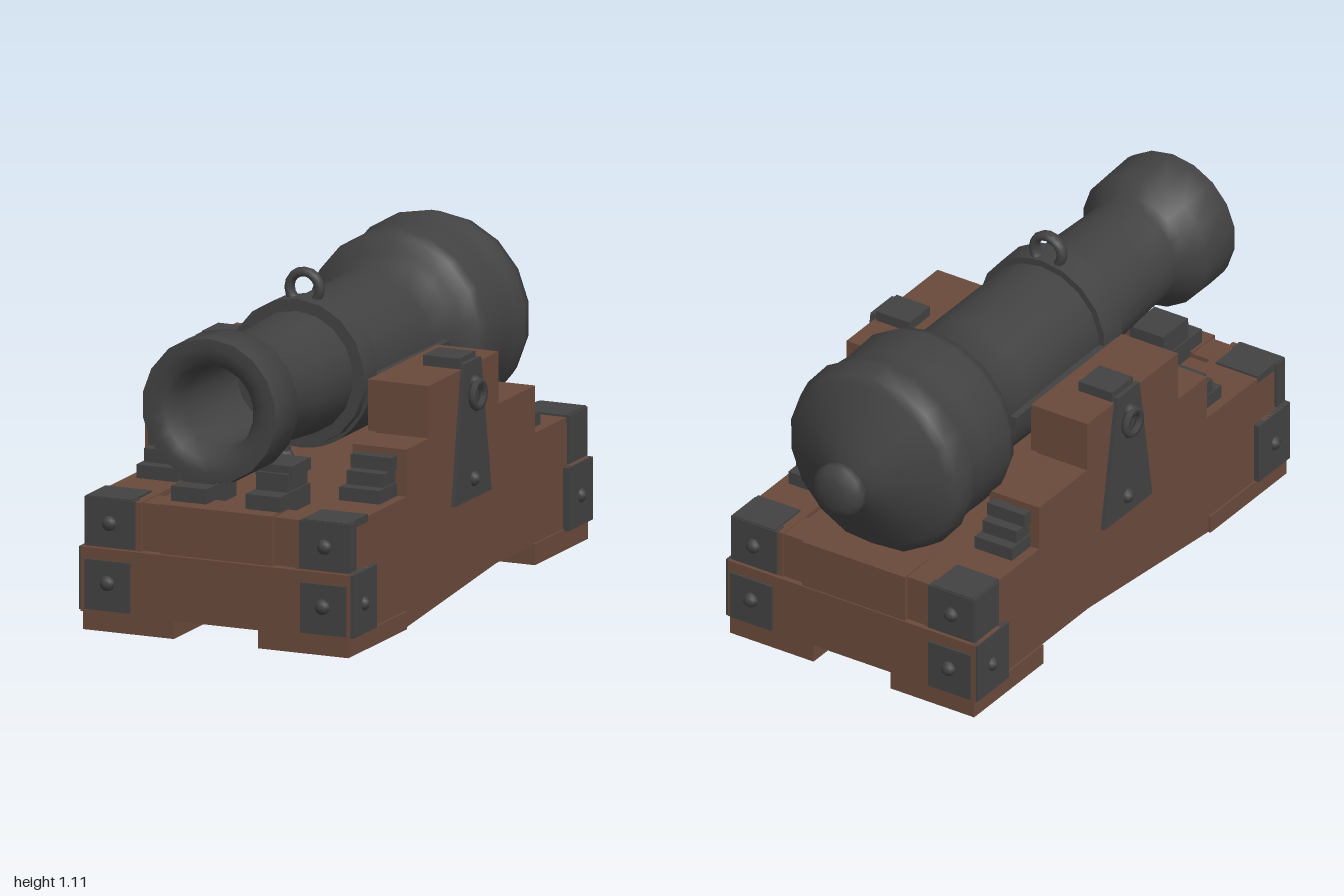
import * as THREE from 'three';
import { toCreasedNormals } from 'three/addons/utils/BufferGeometryUtils.js';

export function createModel() {
  const model = new THREE.Group();
  model.name = 'cannon';
  const iron = new THREE.MeshStandardMaterial({ name: 'dark iron', color: 0x424242 });
  const wood = new THREE.MeshStandardMaterial({ name: 'brown wood', color: 0x6a4a3c });

  const add = (name, geo, mat, parent = model) => {
    const mesh = new THREE.Mesh(geo, mat);
    mesh.name = name;
    parent.add(mesh);
    return mesh;
  };
  // Box given by its limits on each axis
  const box = (name, mat, x0, x1, y0, y1, z0, z1) => {
    const m = add(name, new THREE.BoxGeometry(Math.abs(x1 - x0), y1 - y0, z1 - z0), mat);
    m.position.set((x0 + x1) / 2, (y0 + y1) / 2, (z0 + z1) / 2);
  };
  // Side outline in (z, y), extruded from x0 to x1
  const slab = (name, mat, pts, x0, x1) => {
    const shape = new THREE.Shape(pts.map(([z, y]) => new THREE.Vector2(z, y)));
    const geo = new THREE.ExtrudeGeometry(shape, { depth: Math.abs(x1 - x0), bevelEnabled: false });
    geo.rotateY(-Math.PI / 2).translate(Math.max(x0, x1), 0, 0);
    add(name, geo, mat);
  };
  // Round bolt head
  const bolt = (x, y, z) => {
    const m = add('bolt', new THREE.SphereGeometry(0.026, 8, 6), iron);
    m.position.set(x, y, z);
  };

  // Barrel: turned profile of [z, radius], from breech to bore floor
  const barrel = new THREE.Group();
  barrel.name = 'barrel';
  barrel.position.y = 0.762;
  barrel.rotation.x = -0.024;
  model.add(barrel);
  const turned = (name, pts, seg) => {
    const geo = new THREE.LatheGeometry(pts.map(([z, r]) => new THREE.Vector2(r, z)), seg);
    add(name, toCreasedNormals(geo.rotateX(Math.PI / 2), 1), iron, barrel);
  };
  turned('barrelBody', [
    [-0.9, 0], [-0.895, 0.045], [-0.865, 0.118], [-0.815, 0.215], [-0.775, 0.293], [-0.755, 0.325],
    [-0.69, 0.342], [-0.66, 0.328], [-0.58, 0.32], [-0.44, 0.325], [-0.4, 0.312], [-0.38, 0.265], [-0.36, 0.235],
    [-0.2, 0.23], [0.23, 0.222], [0.23, 0.245], [0.335, 0.245], [0.335, 0.205],
    [0.55, 0.192], [0.74, 0.182], [0.78, 0.192], [0.83, 0.242], [0.97, 0.245], [0.998, 0.24],
    [1, 0.205], [0.99, 0.165], [0.97, 0.147], [0.9, 0.135], [0.5, 0.13], [0.5, 0],
  ], 18);
  turned('breechKnob', [
    [-0.998, 0], [-0.996, 0.05], [-0.985, 0.078], [-0.965, 0.095], [-0.94, 0.095],
    [-0.918, 0.075], [-0.908, 0.03], [-0.87, 0.03],
  ], 14);

  // Lifting ring on top and lug below the barrel
  const ring = add('liftingRing', new THREE.TorusGeometry(0.054, 0.016, 8, 16), iron);
  ring.scale.z = 1.4;
  ring.position.set(-0.005, 1.036, 0.258);
  const lug = add('lowerLug', new THREE.SphereGeometry(0.034, 10, 8), iron);
  lug.scale.y = 1.4;
  lug.position.set(-0.01, 0.49, 0.4);
  const stem = add('lugStem', new THREE.CylinderGeometry(0.022, 0.022, 0.1, 8), iron);
  stem.position.set(-0.01, 0.56, 0.4);

  // Curved saddle cradling the barrel between the cheeks
  const arc = new THREE.Shape();
  arc.absarc(0, 0, 0.252, Math.PI, Math.PI * 2, false);
  arc.absarc(0, 0, 0.222, Math.PI * 2, Math.PI, true);
  const saddleGeo = new THREE.ExtrudeGeometry(arc, { depth: 0.6, bevelEnabled: false, curveSegments: 10 });
  add('saddle', toCreasedNormals(saddleGeo, 0.6), iron).position.set(0, 0.765, -0.3);

  // Carriage bed and its underside
  slab('bed', wood, [
    [0.9, 0.06], [0.62, 0.06], [0.6, 0.006], [0.5, 0.006], [-0.2, 0.068],
    [-0.86, 0.068], [-0.86, 0.42], [0.9, 0.42],
  ], -0.28, 0.28);

  // Cross beams at both ends
  box('frontLowerBeam', wood, -0.485, 0.48, 0.06, 0.275, 0.8, 0.945);
  box('frontUpperBeam', wood, -0.465, 0.465, 0.275, 0.435, 0.8, 0.915);
  box('frontCenterBlock', wood, -0.205, 0.195, 0.275, 0.44, 0.8, 0.93);
  box('rearLowerBeam', wood, -0.485, 0.48, 0.065, 0.275, -0.885, -0.74);
  box('rearUpperBeam', wood, -0.465, 0.465, 0.275, 0.435, -0.865, -0.74);
  box('rearCenterBlock', wood, -0.205, 0.195, 0.275, 0.44, -0.88, -0.74);

  // Stepped iron wedge: three stairs descending away from z0 in direction dir
  const stairs = (x0, x1, y, z0, dir, depth, height) => {
    for (let i = 0; i < 3; i++) {
      const end = z0 + dir * depth * (3 - i) / 3;
      box('stepWedge', iron, x0 + 0.006 * (i % 2), x1 - 0.006 * (i % 2),
        y + height * i / 3, y + height * (i + 1) / 3, Math.min(z0, end), Math.max(z0, end));
    }
  };

  for (const s of [1, -1]) {
    // Stepped cheek with a thicker top block
    slab('cheek', wood, [
      [0.93, 0.06], [0.93, 0.002], [0.5, 0.002], [-0.2, 0.068], [-0.87, 0.068], [-0.87, 0.438],
      [-0.49, 0.438], [-0.49, 0.595], [-0.21, 0.595], [-0.21, 0.77], [0.32, 0.77],
      [0.32, 0.595], [0.49, 0.595], [0.49, 0.438], [0.93, 0.438],
    ], s * 0.275, s * 0.468);
    box('cheekInnerBlock', wood, s * 0.25, s * 0.28, 0.6, 0.77, -0.21, 0.32);

    // Feet
    box('frontFoot', wood, s * 0.15, s * 0.475, 0, 0.06, 0.5, 0.945);
    box('rearFoot', wood, s * 0.15, s * 0.475, 0, 0.07, -0.88, -0.475);

    // Step wedges on the cheek steps and the front of the bed
    const lo = s > 0 ? 0.29 : -0.435, hi = s > 0 ? 0.435 : -0.29;
    stairs(lo, hi, 0.438, 0.49, 1, 0.135, 0.135);
    stairs(lo, hi, 0.438, -0.49, -1, 0.11, 0.135);
    const c0 = s > 0 ? 0.07 : -0.195, c1 = s > 0 ? 0.195 : -0.07;
    box('centerWedgeToe', iron, c0, c1, 0.42, 0.49, 0.64, 0.87);
    box('centerWedgeBody', iron, c0 + 0.006, c1 - 0.006, 0.49, 0.55, 0.65, 0.8);
    box('centerWedgeTop', iron, c0 - 0.003, c1 + 0.003, 0.535, 0.575, 0.64, 0.785);

    // Corner ironwork at the front and rear
    for (const [end, z] of [[1, 0.945], [-1, -0.885]]) {
      const span = (a, b) => [Math.min(z + end * a, z + end * b), Math.max(z + end * a, z + end * b)];
      const sideDepth = end > 0 ? -0.06 : -0.15;
      box('cornerCap', iron, s * 0.295, s * 0.47, 0.28, 0.441, ...span(-0.05, -0.006));
      box('cornerCapTop', iron, s * 0.305, s * 0.469, 0.42, 0.445, ...span(-0.16, -0.01));
      box('cornerCapSide', iron, s * 0.44, s * 0.475, 0.28, 0.441, ...span(sideDepth, -0.01));
      box('lowerEndPlate', iron, s * 0.305, s * 0.467, 0.07, 0.237, ...span(-0.01, 0.008));
      box('lowerSidePlate', iron, s * 0.47, s * 0.49, 0.065, 0.275, ...span(-0.185, -0.002));
      bolt(s * 0.385, 0.36, z - end * 0.008);
      bolt(s * 0.385, 0.163, z + end * 0.008);
      bolt(s * 0.482, 0.165, z - end * 0.09);
    }

    // Tapered side strap folded over the cheek top
    slab('sideStrap', iron, [[0.15, 0.33], [0.075, 0.79], [-0.05, 0.79], [-0.13, 0.33]], s * 0.466, s * 0.482);
    box('strapTop', iron, s * 0.33, s * 0.46, 0.765, 0.805, -0.052, 0.07);
    bolt(s * 0.478, 0.395, 0.005);
    bolt(s * 0.486, 0.715, 0.01);
    const sideRing = add('sideRing', new THREE.TorusGeometry(0.042, 0.014, 6, 14), iron);
    sideRing.rotation.y = Math.PI / 2;
    sideRing.position.set(s * 0.499, 0.678, 0.01);
  }
  return model;
}
